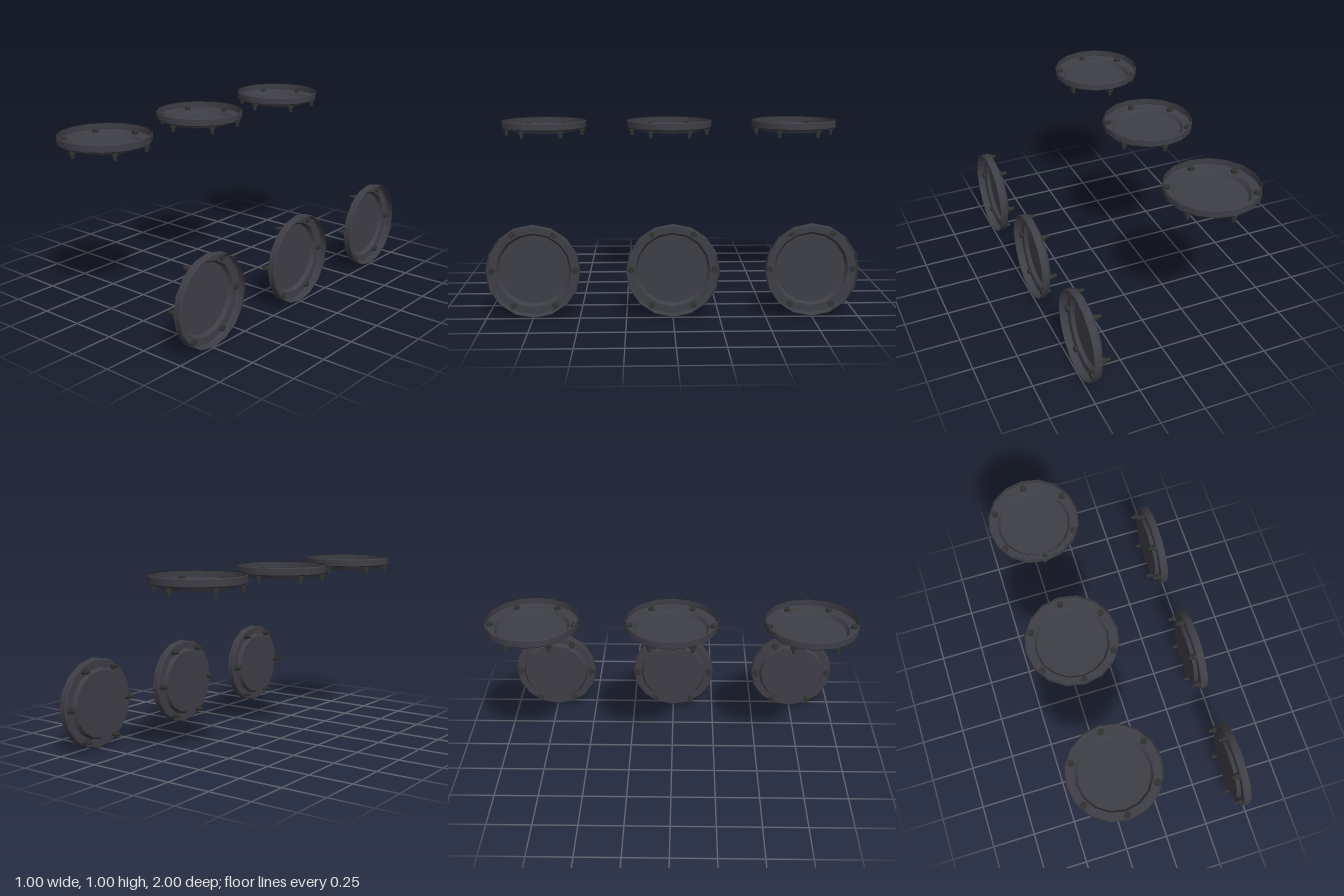
import * as THREE from 'three';
import { toCreasedNormals } from 'three/addons/utils/BufferGeometryUtils.js';

const SIDES = 16;
const trayMaterial = new THREE.MeshStandardMaterial({ color: 0x3e3e46, side: THREE.DoubleSide });
const pegMaterial = new THREE.MeshStandardMaterial({ color: 0x30332f });

// Thin open tray: sunken floor, flat ledge, upright rim. Local y = 0 is the rim's top.
const trayProfile = [
  [0, -0.067], [0.19, -0.067], [0.203, -0.046], [0.246, -0.046],
  [0.2525, -0.04], [0.2525, -0.005], [0.249, 0],
].map(([r, y]) => new THREE.Vector2(r, y));
const trayGeometry = toCreasedNormals(new THREE.LatheGeometry(trayProfile, SIDES), 0.5);

// Pegs pass through the ledge: a wide collar with a narrow pin below
const collarGeometry = toCreasedNormals(new THREE.CylinderGeometry(0.0175, 0.0175, 0.036, 8), 0.9);
const pinGeometry = toCreasedNormals(new THREE.CylinderGeometry(0.01, 0.01, 0.03, 8), 0.9);

function addMesh(parent, name, geometry, material, y = 0) {
  const mesh = new THREE.Mesh(geometry, material);
  mesh.name = name;
  mesh.position.y = y;
  parent.add(mesh);
}

function createTray(name) {
  const tray = new THREE.Group();
  tray.name = name;
  addMesh(tray, 'trayShell', trayGeometry, trayMaterial);
  // Six pegs around the ledge
  for (let i = 0; i < 6; i++) {
    const angle = (i * Math.PI) / 3;
    const peg = new THREE.Group();
    peg.name = 'peg';
    peg.position.set(Math.sin(angle) * 0.225, 0, Math.cos(angle) * 0.225);
    peg.rotation.y = angle;
    addMesh(peg, 'pegCollar', collarGeometry, pegMaterial, -0.049);
    addMesh(peg, 'pegPin', pinGeometry, pegMaterial, -0.076);
    tray.add(peg);
  }
  return tray;
}

export function createModel() {
  const model = new THREE.Group();
  model.name = 'roundTrays';
  for (const z of [-0.7475, 0, 0.7475]) {
    // Upper row lies flat, opening upwards
    const flat = createTray('flatTray');
    flat.position.set(-0.2475, 1, z);
    // Lower row stands on edge, opening towards +x
    const upright = createTray('uprightTray');
    upright.position.set(0.5, 0.2525, z);
    upright.rotation.z = -Math.PI / 2;
    model.add(flat, upright);
  }
  return model;
}
